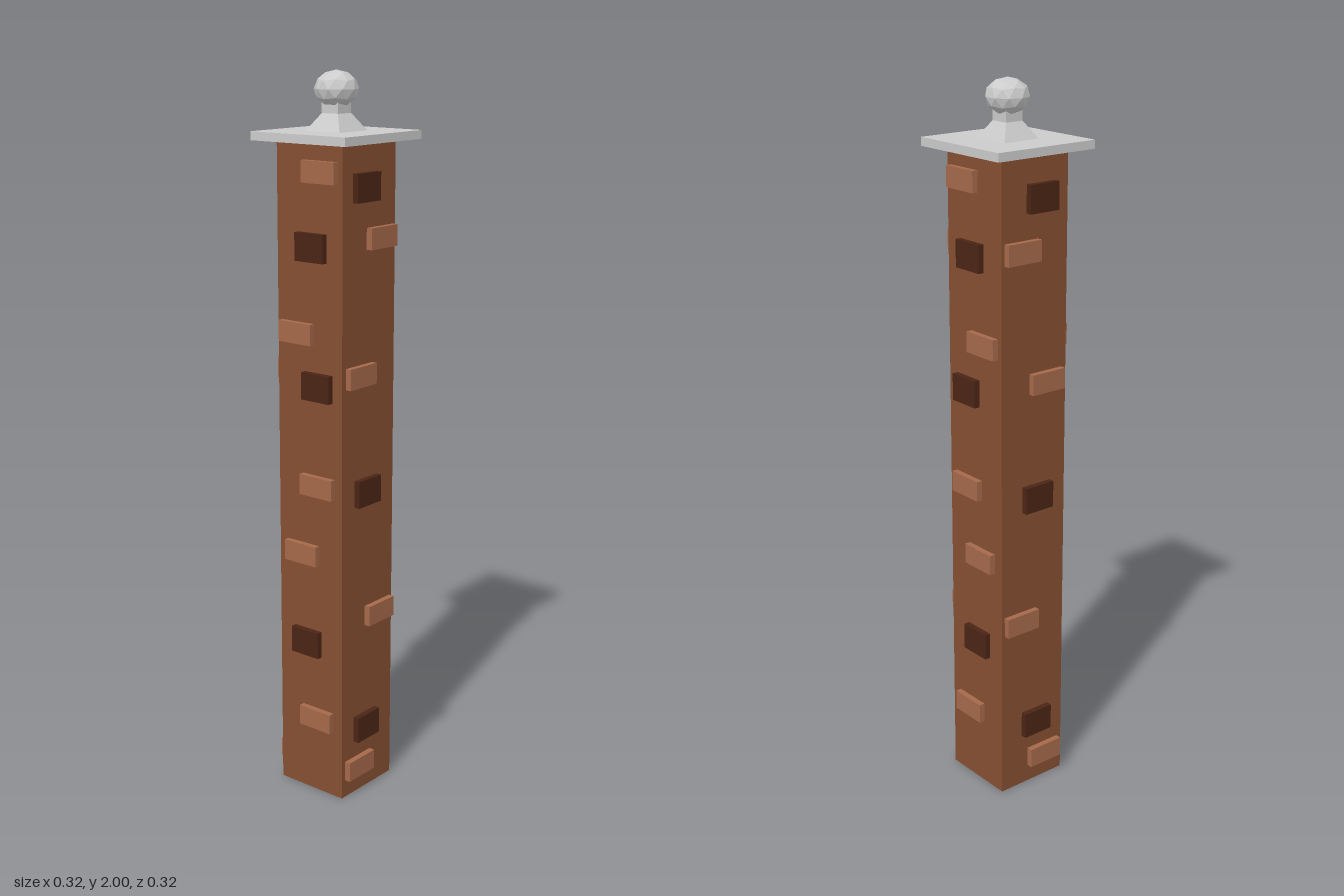
import * as THREE from 'three';

const material = (color) => new THREE.MeshStandardMaterial({ color, flatShading: true });

export function createModel() {
  const model = new THREE.Group();
  model.name = 'brickPillar';

  const brick = material(0x854f31);
  const lightBrick = material(0xa5694a);
  const darkBrick = material(0x4a2515);
  const stone = material(0xcccccc);

  const add = (name, geometry, mat, x, y, z) => {
    const mesh = new THREE.Mesh(geometry, mat);
    mesh.name = name;
    mesh.position.set(x, y, z);
    model.add(mesh);
    return mesh;
  };

  // Square shaft
  add('shaft', new THREE.BoxGeometry(0.22, 1.825, 0.22), brick, 0, 0.9125, 0);

  // Accent bricks run right through the shaft and stick out on both sides.
  // Each entry: [sideways offset, height, is dark]
  const throughZ = [
    [-0.02, 1.71, true], [0.045, 1.575, false], [-0.04, 1.215, false], [-0.01, 0.89, true],
    [0.045, 0.525, false], [-0.01, 0.195, true], [-0.04, 0.08, false],
  ];
  const throughX = [
    [0.04, 1.75, false], [0.01, 1.555, true], [-0.04, 1.325, false], [0.03, 1.185, true],
    [0.03, 0.91, false], [-0.025, 0.71, false], [-0.01, 0.45, true], [0.025, 0.225, false],
  ];
  const accent = (offset, y, dark, alongX) => {
    const width = dark ? 0.095 : 0.11;
    const height = dark ? 0.075 : 0.057;
    const depth = 0.254;
    const geometry = new THREE.BoxGeometry(alongX ? depth : width, height, alongX ? width : depth);
    add(dark ? 'darkBrick' : 'lightBrick', geometry, dark ? darkBrick : lightBrick,
      alongX ? 0 : offset, y, alongX ? offset : 0);
  };
  throughZ.forEach(([o, y, dark]) => accent(o, y, dark, false));
  throughX.forEach(([o, y, dark]) => accent(o, y, dark, true));

  // Flat cap slab
  add('capSlab', new THREE.BoxGeometry(0.316, 0.023, 0.316), stone, 0, 1.834, 0);

  // Square finial foot that tapers into a straight neck
  const squareFrustum = (topHalf, bottomHalf, height) =>
    new THREE.CylinderGeometry(topHalf * Math.SQRT2, bottomHalf * Math.SQRT2, height, 4)
      .rotateY(Math.PI / 4);
  add('finialFoot', squareFrustum(0.027, 0.057, 0.045), stone, 0, 1.868, 0);
  add('finialNeck', squareFrustum(0.027, 0.027, 0.035), stone, 0, 1.907, 0);

  // Faceted, slightly flattened ball with a vertex at its pole
  const ball = new THREE.IcosahedronGeometry(0.059, 1)
    .rotateZ(Math.atan(2 / (1 + Math.sqrt(5))))
    .scale(1, 0.81, 1);
  add('finialBall', ball, stone, 0, 1.952, 0);

  return model;
}
